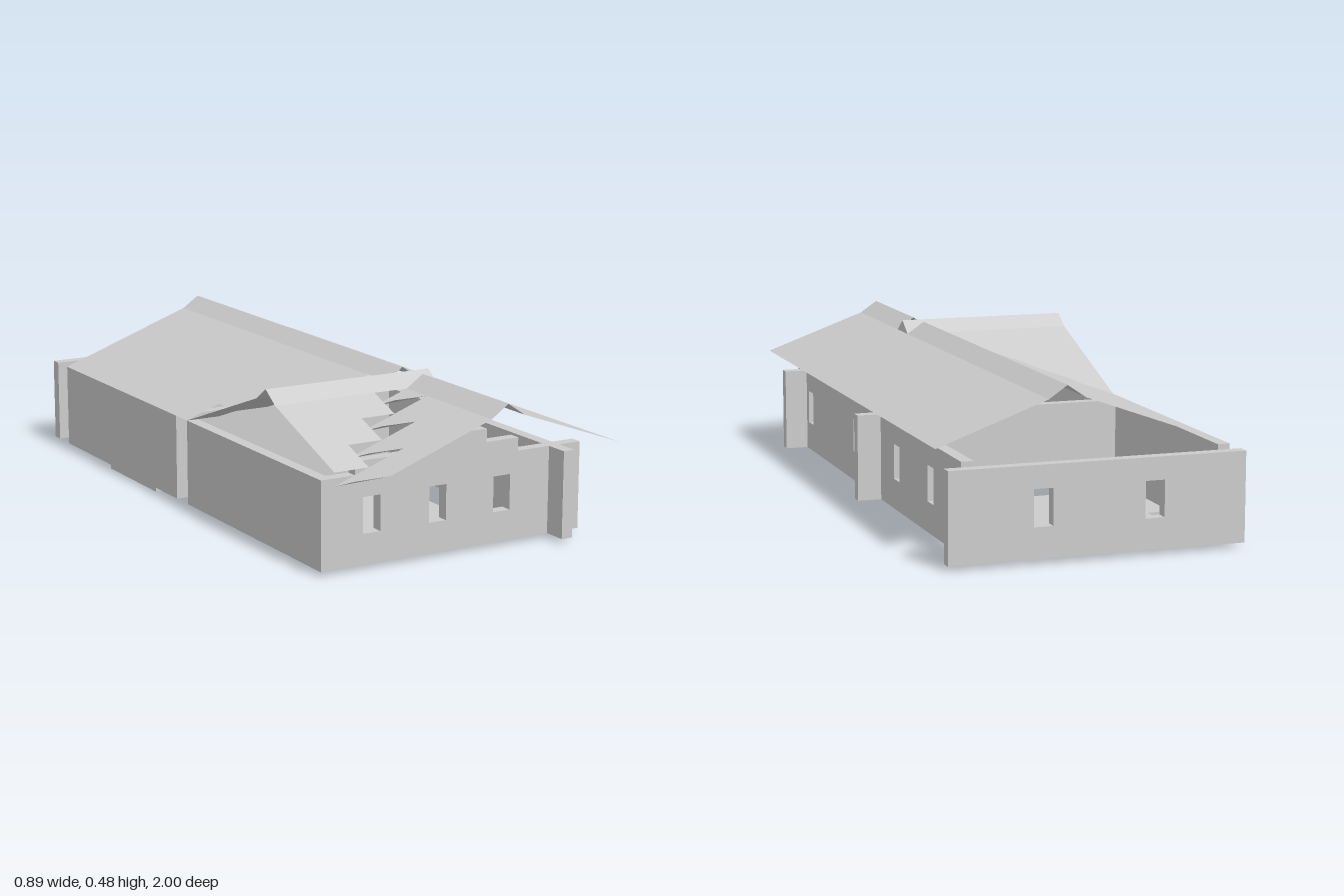
import * as THREE from 'three';

const C = 1 / 9;          // grid cell
const T = C / 3;          // wall thickness
const STEP = 0.04;        // roof rise per cell
const BASE = 0.013, TOP = 0.28, RIDGE = 0.44, PEAK = 0.478;
const WIN_W = 0.058, WIN_Y0 = 0.105, WIN_Y1 = 0.213;

const wallMat = new THREE.MeshStandardMaterial({ color: 0xcccccc, flatShading: true });
const roofMat = new THREE.MeshStandardMaterial({ color: 0xcccccc, flatShading: true, side: THREE.DoubleSide });

function shapeOf(points) {
  return new THREE.Shape(points.map(([x, y]) => new THREE.Vector2(x, y)));
}

// Wall drawn in (u, y), pierced by windows centred at the given u values
function wall(name, outline, windows) {
  const shape = shapeOf(outline);
  for (const u of windows) {
    const a = u - WIN_W / 2, b = u + WIN_W / 2;
    shape.holes.push(new THREE.Path([[a, WIN_Y0], [a, WIN_Y1], [b, WIN_Y1], [b, WIN_Y0]]
      .map(([x, y]) => new THREE.Vector2(x, y))));
  }
  const mesh = new THREE.Mesh(new THREE.ExtrudeGeometry(shape, { depth: T, bevelEnabled: false }), wallMat);
  mesh.name = name;
  return mesh;
}

const rect = (a, b) => [[a, BASE], [b, BASE], [b, TOP], [a, TOP]];

// Wall across x, with its back at z
function crossWall(name, outline, z, windows = []) {
  const m = wall(name, outline, windows);
  m.position.z = z;
  return m;
}

// Wall along z from z0 to z1, with its -x face at x
function sideWall(name, x, z0, z1, windows = []) {
  const m = wall(name, rect(-z1, -z0), windows.map((z) => -z));
  m.rotation.y = Math.PI / 2;
  m.position.x = x;
  return m;
}

// Floor slab from an (x, z) outline
function floor(name, points) {
  const geo = new THREE.ExtrudeGeometry(shapeOf(points.map(([x, z]) => [x, -z])), { depth: BASE, bevelEnabled: false });
  geo.rotateX(-Math.PI / 2);
  const m = new THREE.Mesh(geo, wallMat);
  m.name = name;
  return m;
}

// Thin roof part from three- or four-cornered sheets
function sheets(name, polys) {
  const pos = [];
  for (const p of polys) {
    for (let i = 1; i < p.length - 1; i++) pos.push(...p[0], ...p[i], ...p[i + 1]);
  }
  const geo = new THREE.BufferGeometry();
  geo.setAttribute('position', new THREE.Float32BufferAttribute(pos, 3));
  geo.computeVertexNormals();
  const m = new THREE.Mesh(geo, roofMat);
  m.name = name;
  return m;
}

// Sheet sloping along x, upper side outward
const slopeX = (x0, y0, x1, y1, z0, z1) => [[x0, y0, z0], [x0, y0, z1], [x1, y1, z1], [x1, y1, z0]];
// Sheet sloping along z
const slopeZ = (z0, y0, z1, y1, x0, x1) => [[x0, y0, z0], [x0, y1, z1], [x1, y1, z1], [x1, y0, z0]];

export function createModel() {
  const g = new THREE.Group();
  g.name = 'house';
  const W = 4 * C, BACK = -8 * C;

  // Walls: stepped front gable, plain cross walls, long sides
  g.add(crossWall('frontWall', [
    [-W, BASE], [W, BASE], [W, TOP], [2 * C, TOP], [2 * C, 0.32], [C, 0.32], [C, 0.36],
    [-C, 0.36], [-C, 0.32], [-3 * C, 0.32], [-3 * C, TOP], [-W, TOP],
  ], 7 * C, [-2.5 * C, -0.5 * C, 1.5 * C]));
  g.add(crossWall('partitionWall', rect(-W, W), -C));
  g.add(crossWall('backWall', rect(-W, W), -1, [-1.5 * C, 1.5 * C]));
  g.add(sideWall('leftWall', 3 * C, BACK, 8 * C, [6.5 * C, 1.5 * C, -2.5 * C, -5.5 * C]));
  g.add(sideWall('rightWallFront', -W, 0, 7 * C));
  g.add(sideWall('rightWallBack', -W, BACK, -C));

  // Floors
  g.add(floor('frontFloor', [[-3 * C, C], [-3 * C, 6 * C], [2 * C, 6 * C], [2 * C, C]]));
  g.add(floor('backFloor', [
    [-4, -2], [2, -2], [2, -7], [1, -7], [1, -8], [-1, -8], [-1, -7], [-3, -7], [-3, -5], [-4, -5],
  ].map(([x, z]) => [x * C, z * C])));

  // Main roof and cross gable, one row of cells at a time
  const right = [], gableBack = [], gableFront = [], valley = [];
  for (let i = 0; i < 4; i++) {
    const x0 = -(i + 1) * C, x1 = -i * C;
    const hi = RIDGE - i * STEP, lo = hi - STEP;
    right.push(slopeX(x0, lo, x1, hi, BACK, (3 - i) * C));
    if (i < 3) right.push(slopeX(x0, lo, x1, hi, (6 + i) * C, 1));
    gableBack.push(slopeZ((3 - i) * C, lo, (4 - i) * C, hi, -W, x1));
    const z0 = (5 + i) * C, z1 = z0 + C;
    if (i < 3) gableFront.push(slopeZ(z0, hi, z1, lo, -W, x0));
    // corner tile with its low point at the inner back corner
    const low = [x0, lo, z0], far = [x1, hi, z1];
    valley.push([low, [x0, hi, z1], far], [low, far, [x1, hi, z0]]);
  }
  g.add(sheets('mainRoofRight', right));
  g.add(sheets('mainRoofLeft', [slopeX(C, RIDGE, W, 0.32, BACK, 1)]));
  g.add(sheets('crossGableBack', gableBack));
  g.add(sheets('crossGableFront', gableFront));
  g.add(sheets('valleyTiles', valley));

  // Ridge caps, broken where the cross gable meets the main ridge
  const caps = [];
  for (const [z0, z1] of [[BACK, 4 * C], [5 * C, 1]]) {
    caps.push(slopeX(0, RIDGE, C / 2, PEAK, z0, z1), slopeX(C / 2, PEAK, C, RIDGE, z0, z1));
  }
  g.add(sheets('mainRidge', caps));
  g.add(sheets('crossRidge', [
    slopeZ(4 * C, RIDGE, 4.5 * C, PEAK, -W, C),
    slopeZ(4.5 * C, PEAK, 5 * C, RIDGE, -W, C),
    [[C, RIDGE, 5 * C], [C, RIDGE, 4 * C], [C, PEAK, 4.5 * C]],
  ]));
  return g;
}
